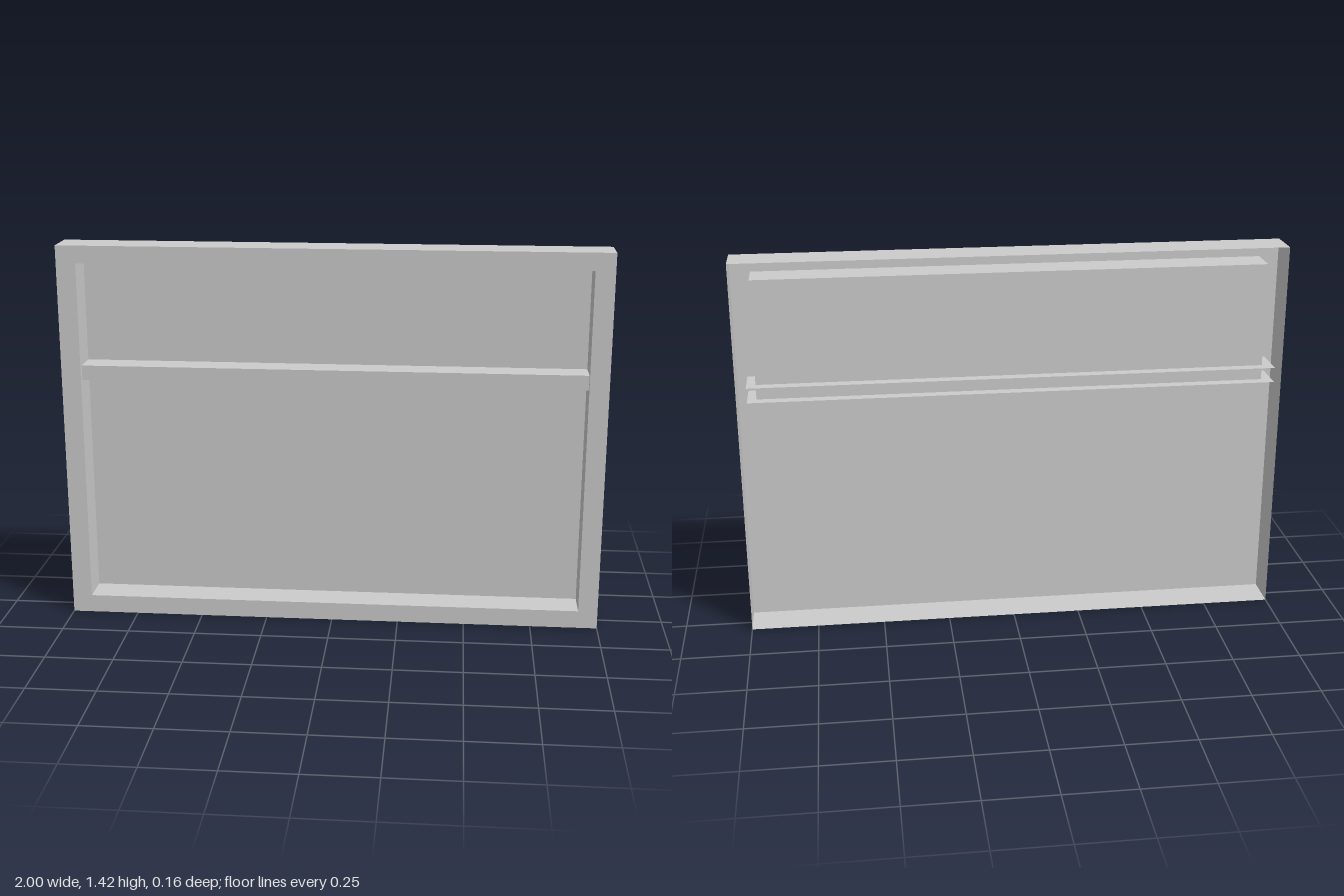
import * as THREE from 'three';

const material = new THREE.MeshStandardMaterial({ color: 0xcccccc, side: THREE.DoubleSide });

// Skins consecutive cross-sections with flat quads; closed joins the last point to the first.
function skin(name, sections, closed) {
  const positions = [];
  for (let s = 0; s < sections.length - 1; s++) {
    const p = sections[s], q = sections[s + 1], n = p.length;
    for (let i = 0; i < (closed ? n : n - 1); i++) {
      const j = (i + 1) % n;
      positions.push(...p[i], ...p[j], ...q[j], ...p[i], ...q[j], ...q[i]);
    }
  }
  const geometry = new THREE.BufferGeometry();
  geometry.setAttribute('position', new THREE.Float32BufferAttribute(positions, 3));
  geometry.computeVertexNormals();
  const mesh = new THREE.Mesh(geometry, material);
  mesh.name = name;
  return mesh;
}

// Rectangle corners, counter-clockwise seen from the front
const rect = (halfWidth, bottom, top, z) => [
  [-halfWidth, bottom, z], [halfWidth, bottom, z], [halfWidth, top, z], [-halfWidth, top, z],
];

export function createModel() {
  const group = new THREE.Group();
  group.name = 'window';

  const front = 0.079, back = -0.057, paneZ = -0.041;
  const outer = [1, 0, 1.42], inner = [0.928, 0.067, 1.356];

  // Frame: folded channel, open at the back
  group.add(skin('frame', [
    rect(...outer, back), rect(...outer, front), rect(...inner, front), rect(...inner, paneZ),
  ], true));

  // Pane closing the opening at the back of the inner walls
  const pane = new THREE.Mesh(
    new THREE.PlaneGeometry(inner[0] * 2, inner[2] - inner[1]), material);
  pane.name = 'pane';
  pane.position.set(0, (inner[1] + inner[2]) / 2, paneZ);
  group.add(pane);

  // Crossbar: U-shaped channel whose two flanges pass through the pane
  const profile = [[0.972, -0.079], [0.972, 0.058], [0.917, 0.058], [0.917, -0.079]];
  const ends = [-0.967, 0.961].map((x) => profile.map(([y, z]) => [x, y, z]));
  group.add(skin('crossbar', ends, false));

  return group;
}
